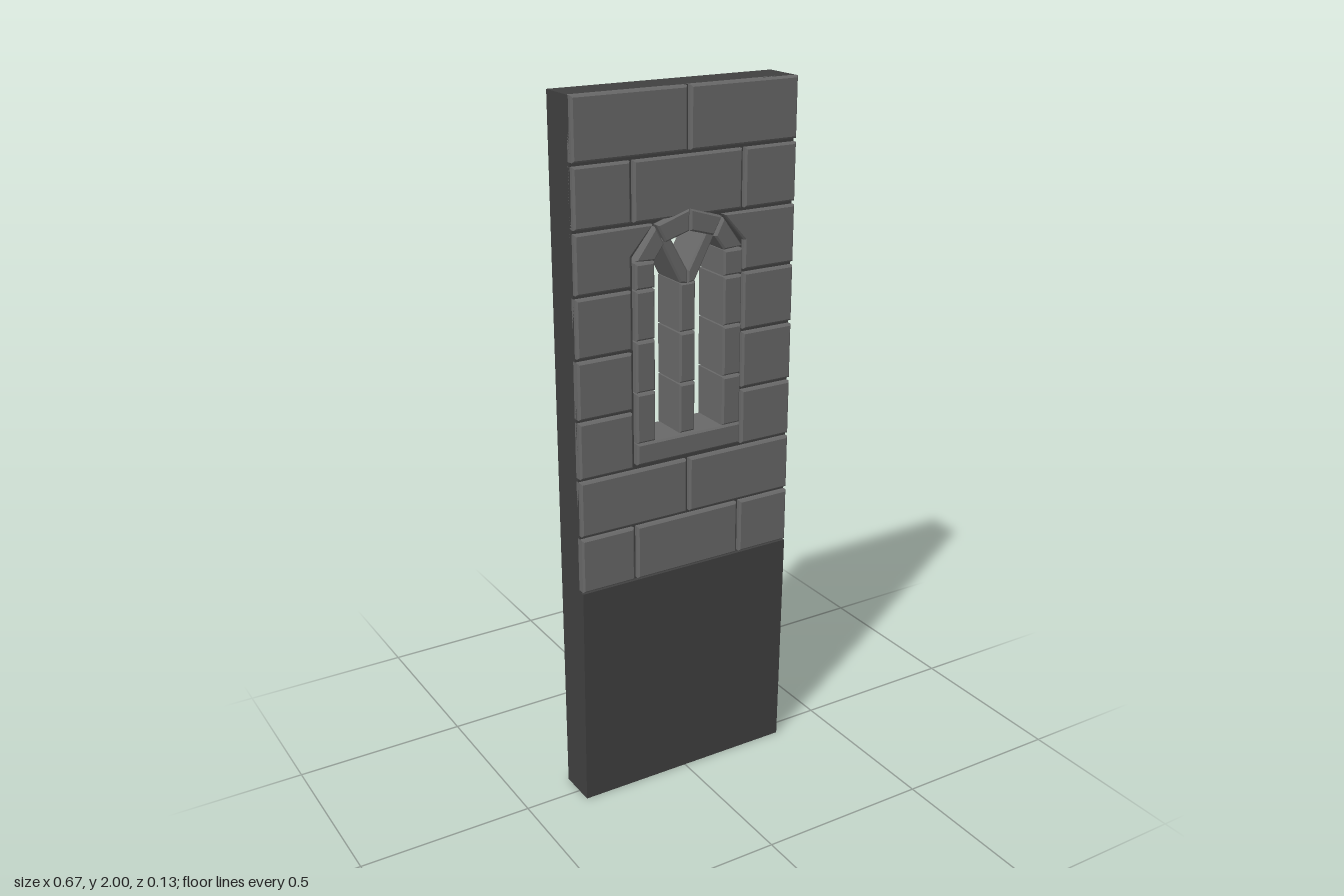
import * as THREE from 'three';

const wallMat = new THREE.MeshStandardMaterial({ color: 0x404040 });
wallMat.name = 'dark plaster';
const stoneMat = new THREE.MeshStandardMaterial({ color: 0x686868 });
stoneMat.name = 'grey stone';

const W = 0.333, BACK = -0.069, FRONT = 0.045, ROW = 1 / 6;

const toShape = (pts) => new THREE.Shape(pts.map(([x, y]) => new THREE.Vector2(x, y)));
const mirror = (pts) => pts.map(([x, y]) => [-x, y]);
const rect = (x0, y0, x1, y1) => [[x0, y0], [x1, y0], [x1, y1], [x0, y1]];

// Prism with chamfered front and back edges, filling the outline from z0 to z1
function stone(name, pts, z0, z1, bevel = 0.005) {
  const geo = new THREE.ExtrudeGeometry(toShape(pts), {
    depth: z1 - z0 - 2 * bevel, bevelEnabled: true, bevelSegments: 1,
    bevelThickness: bevel, bevelSize: bevel, bevelOffset: -bevel,
  });
  geo.translate(0, 0, z0 + bevel);
  const mesh = new THREE.Mesh(geo, stoneMat);
  mesh.name = name;
  return mesh;
}

function createWall() {
  const group = new THREE.Group();
  group.name = 'wall';

  // Slab pierced by the pointed window opening
  const outline = toShape(rect(-W, 0, W, 2));
  outline.holes.push(toShape([
    [-0.163, 1.065], [-0.163, 1.58], [-0.1, 1.657], [0, 1.687],
    [0.1, 1.657], [0.163, 1.58], [0.163, 1.065],
  ]));
  const slabGeo = new THREE.ExtrudeGeometry(outline, { depth: FRONT - BACK, bevelEnabled: false });
  slabGeo.translate(0, 0, BACK);
  const slab = new THREE.Mesh(slabGeo, wallMat);
  slab.name = 'slab';

  // Gently sloping plinth face below the bricks
  const plinthGeo = new THREE.ExtrudeGeometry(
    toShape([[0.03, 0], [0.046, 0], [0.057, 0.667], [0.03, 0.667]]),
    { depth: 2 * W, bevelEnabled: false });
  plinthGeo.rotateY(-Math.PI / 2).translate(W, 0, 0);
  const plinth = new THREE.Mesh(plinthGeo, wallMat);
  plinth.name = 'plinth';

  group.add(slab, plinth);
  return group;
}

function createBricks() {
  const group = new THREE.Group();
  group.name = 'bricks';
  const gap = 0.005, z0 = 0.03, z1 = 0.061;

  for (let row = 0; row < 8; row++) {
    const top = 2 - row * ROW - (row ? gap : 0);
    const bottom = 2 - (row + 1) * ROW + gap;
    const add = (pts) => group.add(stone('brick', pts, z0, z1));

    if (row === 2) {
      // Bricks cut to follow the arch
      const cut = [[-W, bottom], [-0.173, bottom], [-0.173, 1.585], [-0.107, top], [-W, top]];
      add(cut);
      add(mirror(cut));
    } else if (row > 2 && row < 6) {
      // Short bricks beside the window
      add(rect(-W, bottom, -0.173, top));
      add(rect(0.173, bottom, W, top));
    } else {
      // Full courses in running bond
      const joints = row % 2 === 0 ? [-W, 0, W] : [-W, -0.167, 0.167, W];
      for (let i = 0; i < joints.length - 1; i++) {
        const left = joints[i] + (i > 0 ? gap : 0);
        const right = joints[i + 1] - (i < joints.length - 2 ? gap : 0);
        add(rect(left, bottom, right, top));
      }
    }
  }
  return group;
}

function createWindow() {
  const group = new THREE.Group();
  group.name = 'window';
  const z0 = -0.064, z1 = 0.066, zTracery = 0.055, gap = 0.002;
  const add = (name, pts, front = z1) => group.add(stone(name, pts, z0, front));
  const addPair = (name, pts, front) => {
    add(name, pts, front);
    add(name, mirror(pts), front);
  };

  add('sill', rect(-0.163, 1.012, 0.163, 1.072));

  // Jambs and central mullion, stacked from blocks
  const levels = [1.072, 1.215, 1.358, 1.495, 1.568];
  for (let i = 0; i < 4; i++) {
    const y0 = levels[i] + gap, y1 = levels[i + 1] - gap;
    addPair('jambStone', rect(-0.163, y0, -0.106, y1));
    if (i < 3) add('mullionStone', rect(-0.024, y0, 0.024, y1), zTracery);
  }

  // Arch stones
  addPair('archStone', [[-0.163, 1.572], [-0.106, 1.568], [-0.077, 1.608], [-0.103, 1.655]]);
  addPair('crownStone', [[-0.099, 1.659], [-0.073, 1.611], [-0.001, 1.632], [-0.001, 1.69]]);

  // Forked tracery above the mullion
  addPair('traceryBranch', [[0, 1.49], [0, 1.525], [-0.06, 1.632], [-0.085, 1.615], [-0.022, 1.494]], zTracery);
  return group;
}

export function createModel() {
  const model = new THREE.Group();
  model.name = 'windowWall';
  model.add(createWall(), createBricks(), createWindow());
  return model;
}
